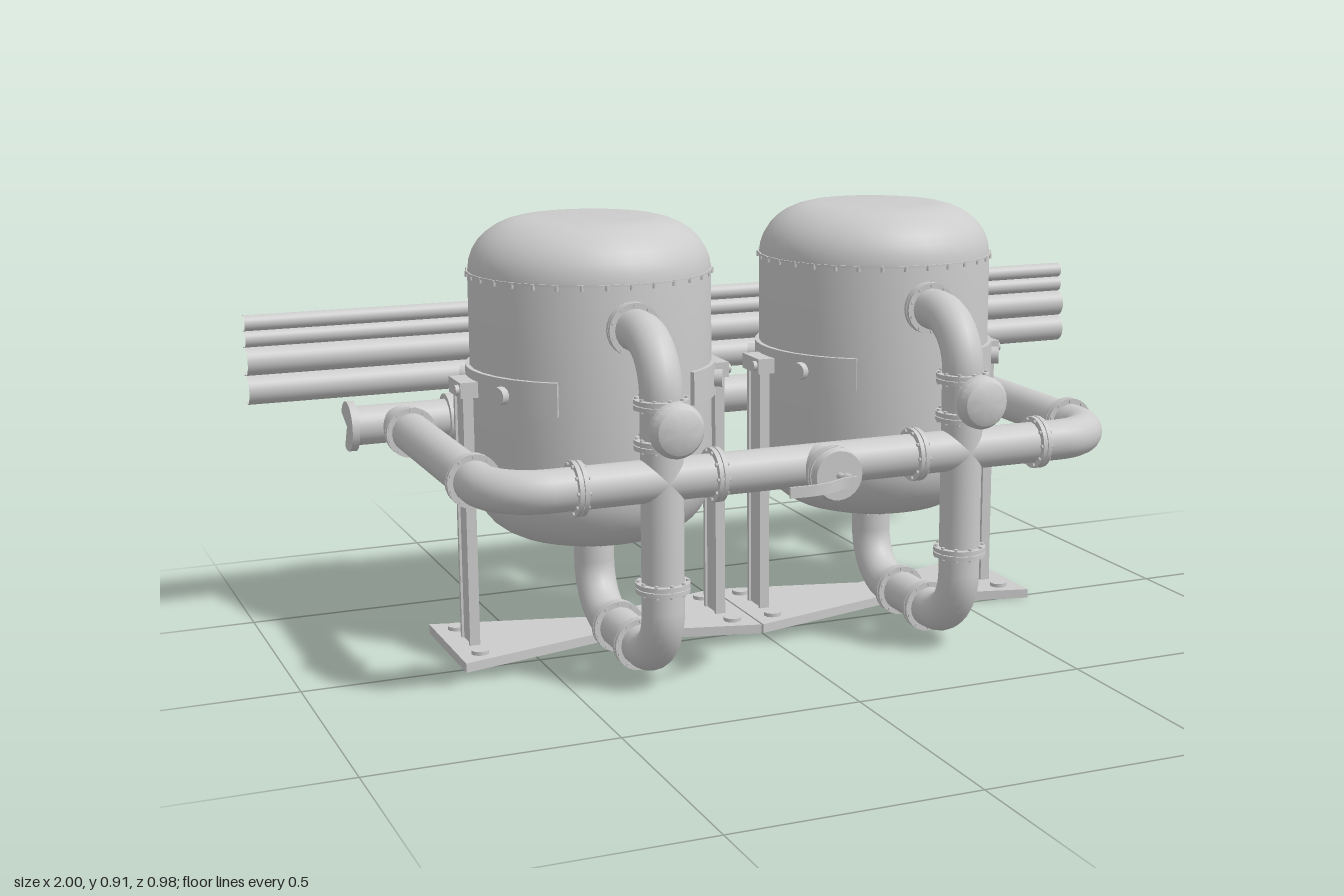
import * as THREE from 'three';
import { mergeGeometries, toCreasedNormals } from 'three/addons/utils/BufferGeometryUtils.js';

const mat = new THREE.MeshStandardMaterial({ color: 0xcccccc });
const thin = new THREE.MeshStandardMaterial({ color: 0xcccccc, side: THREE.DoubleSide });
const V = (x, y, z) => new THREE.Vector3(x, y, z);
const deg = THREE.MathUtils.degToRad;
const PIPE = 0.043, HEADER_Y = 0.437, FRONT_Z = 0.29, TANK_X = 0.333, TANK_Z = -0.125, SIDE_X = 0.675, BACK_Z = -0.44;

function add(parent, name, geo, x = 0, y = 0, z = 0, material = mat) {
  const m = new THREE.Mesh(geo, material);
  m.name = name;
  m.position.set(x, y, z);
  parent.add(m);
  return m;
}

function lathe(points, segments = 32) {
  const g = new THREE.LatheGeometry(points.map(([r, y]) => new THREE.Vector2(r, y)), segments);
  return toCreasedNormals(g, deg(32));
}

// Turn a geometry built along y so that it runs along another axis
function along(geo, axis) {
  if (axis === 'x') geo.rotateZ(Math.PI / 2);
  if (axis === 'z') geo.rotateX(Math.PI / 2);
  return geo;
}

// Round pipe through corner points, each corner an elbow of the given radius
function pipe(points, bend, radius = PIPE) {
  const parts = [];
  const tube = (curve, n) => parts.push(new THREE.TubeGeometry(curve, n, radius, 20));
  let from = points[0];
  for (let i = 1; i < points.length; i++) {
    const p = points[i], next = points[i + 1];
    if (!next) { tube(new THREE.LineCurve3(from, p), 1); break; }
    const u = p.clone().sub(points[i - 1]).normalize(), w = next.clone().sub(p).normalize();
    const a = p.clone().addScaledVector(u, -bend), b = p.clone().addScaledVector(w, bend);
    tube(new THREE.LineCurve3(from, a), 1);
    tube(new THREE.CubicBezierCurve3(a, a.clone().addScaledVector(u, bend * 0.552),
      b.clone().addScaledVector(w, -bend * 0.552), b), 10);
    from = b;
  }
  return mergeGeometries(parts);
}

// Pair of bolted discs around a pipe
function flange(parent, axis, x, y, z) {
  const parts = [];
  for (const s of [-1, 1]) {
    parts.push(new THREE.CylinderGeometry(0.055, 0.055, 0.009, 24).translate(0, s * 0.0055, 0));
  }
  for (let i = 0; i < 10; i++) {
    const a = (i + 0.5) / 10 * Math.PI * 2;
    parts.push(new THREE.CylinderGeometry(0.004, 0.004, 0.028, 6).translate(0.049 * Math.cos(a), 0, 0.049 * Math.sin(a)));
  }
  parts.push(new THREE.CylinderGeometry(0.05, 0.05, 0.004, 24));
  add(parent, 'flange', along(mergeGeometries(parts), axis), x, y, z);
}

// Open trough along x; the gap faces the back
function trough(radius, length, up, down) {
  const start = -(180 - down), sweep = 360 - up - down;
  return along(new THREE.CylinderGeometry(radius, radius, length, 20, 1, true, deg(start), deg(sweep)), 'x');
}

function tank(parent) {
  const g = new THREE.Group();
  g.name = 'tank';
  const profile = [[0, 0.235]];
  for (let i = 0; i <= 8; i++) {
    const a = i / 8 * Math.PI / 2;
    profile.push([0.125 + 0.13 * Math.sin(a), 0.36 - 0.125 * Math.cos(a)]);
  }
  for (let i = 0; i <= 8; i++) {
    const a = i / 8 * Math.PI / 2;
    profile.push([0.125 + 0.13 * Math.cos(a), 0.8 + 0.11 * Math.sin(a)]);
  }
  profile.push([0, 0.91]);
  add(g, 'tankShell', lathe(profile));
  add(g, 'tankSeam', new THREE.CylinderGeometry(0.258, 0.258, 0.004, 32), 0, 0.8, 0);
  const rivets = [];
  for (let i = 0; i < 32; i++) {
    const a = i / 32 * Math.PI * 2;
    rivets.push(new THREE.CylinderGeometry(0.004, 0.004, 0.012, 6).translate(0.256 * Math.cos(a), 0.796, 0.256 * Math.sin(a)));
  }
  add(g, 'seamRivets', mergeGeometries(rivets));

  for (const s of [-1, 1]) {
    // Curved saddle plate with its bolts
    const half = deg(56), shape = new THREE.Shape();
    shape.absarc(0, 0, 0.264, -half, half, false);
    shape.absarc(0, 0, 0.25, half, -half, true);
    const plate = new THREE.ExtrudeGeometry(shape, { depth: 0.07, bevelEnabled: false, curveSegments: 12 });
    plate.rotateX(-Math.PI / 2);
    const saddle = add(g, 'saddlePlate', toCreasedNormals(plate, deg(35)), 0, 0.535, 0);
    saddle.rotation.y = s > 0 ? 0 : Math.PI;
    for (const t of [-1, 1]) {
      const a = t * deg(28);
      const bolt = add(g, 'saddleBolt', along(new THREE.CylinderGeometry(0.019, 0.019, 0.02, 16), 'x'),
        s * 0.27 * Math.cos(a), 0.57, 0.27 * Math.sin(a));
      bolt.rotation.y = -s * a;
    }
    // I-section leg with a bracket on top
    add(g, 'legBracket', new THREE.BoxGeometry(0.06, 0.033, 0.088), s * 0.268, 0.569, 0);
    add(g, 'bracketBolt', along(new THREE.CylinderGeometry(0.011, 0.011, 0.012, 12), 'x'), s * 0.3, 0.569, 0.028);
    for (const t of [-1, 1]) add(g, 'legSide', new THREE.BoxGeometry(0.022, 0.535, 0.01), s * 0.28, 0.287, t * 0.031);
    add(g, 'legWeb', new THREE.BoxGeometry(0.012, 0.535, 0.06), s * 0.28, 0.287, 0);
    for (const t of [-1, 1]) {
      add(g, 'baseBolt', new THREE.CylinderGeometry(0.019, 0.019, 0.008, 12), s * 0.285, 0.024, t * 0.09);
    }
  }

  // Waisted base plate
  const base = new THREE.Shape([[-0.331, -0.145], [0, -0.06], [0.331, -0.145], [0.331, 0.145], [0, 0.06], [-0.331, 0.145]]
    .map(([x, y]) => new THREE.Vector2(x, y)));
  add(g, 'basePlate', new THREE.ExtrudeGeometry(base, { depth: 0.02, bevelEnabled: false }).rotateX(-Math.PI / 2));
  parent.add(g);
  return g;
}

// Looping feed pipe from the tank's shoulder to its underside
function feedPipe(parent, x) {
  const g = new THREE.Group();
  g.name = 'feedPipe';
  add(g, 'feedTube', pipe([V(x, 0.712, 0.1), V(x, 0.712, FRONT_Z), V(x, 0.06, FRONT_Z), V(x, 0.06, TANK_Z), V(x, 0.24, TANK_Z)], 0.11));
  for (const y of [0.59, 0.51, 0.22]) flange(g, 'y', x, y, FRONT_Z);
  flange(g, 'y', x, 0.222, TANK_Z);
  for (const z of [0.15, 0.02]) flange(g, 'z', x, 0.06, z);
  flange(g, 'z', x, 0.712, 0.14);
  // Gauge on the front
  const gauge = lathe([[0.008, 0.3], [0.02, 0.35], [0.02, 0.364], [0.055, 0.364], [0.055, 0.378], [0.046, 0.393], [0.03, 0.4], [0, 0.4]], 24);
  add(g, 'gauge', along(gauge, 'z'), x, 0.552, 0);
  parent.add(g);
}

function drainValve(parent) {
  const g = new THREE.Group();
  g.name = 'drainValve';
  g.position.set(0, HEADER_Y, 0);
  add(g, 'valveStub', along(new THREE.CylinderGeometry(PIPE, PIPE, 0.09, 20), 'z'), 0, 0, 0.33);
  flange(g, 'z', 0, 0, 0.37);
  add(g, 'valveCap', along(new THREE.CylinderGeometry(0.05, 0.055, 0.016, 24), 'z'), 0, 0, 0.392);
  add(g, 'valveStem', along(new THREE.CylinderGeometry(0.007, 0.007, 0.06, 10), 'z'), 0, 0, 0.42);
  add(g, 'stemNut', along(new THREE.CylinderGeometry(0.014, 0.014, 0.025, 6), 'z'), 0, 0, 0.444);
  // Thin S-curved lever
  const path = new THREE.CatmullRomCurve3([V(0.012, 0, 0.457), V(-0.02, 0, 0.459), V(-0.055, 0, 0.478), V(-0.09, 0, 0.487), V(-0.147, 0, 0.487)]);
  const lever = new THREE.BoxGeometry(1, 0.022, 0.005, 16, 1, 1), pos = lever.attributes.position;
  for (let i = 0; i < pos.count; i++) {
    const p = path.getPoint(0.5 - pos.getX(i));
    pos.setXYZ(i, p.x, pos.getY(i), p.z + pos.getZ(i));
  }
  lever.computeVertexNormals();
  add(g, 'valveLever', lever);
  parent.add(g);
}

export function createModel() {
  const model = new THREE.Group();
  model.name = 'twinTankStation';

  for (const s of [-1, 1]) {
    tank(model).position.set(s * TANK_X, 0, TANK_Z);
    feedPipe(model, s * TANK_X);
  }

  // U-shaped header pipe
  add(model, 'headerPipe', pipe([V(-SIDE_X, HEADER_Y, -0.41), V(-SIDE_X, HEADER_Y, FRONT_Z),
    V(SIDE_X, HEADER_Y, FRONT_Z), V(SIDE_X, HEADER_Y, -0.41)], 0.11));
  for (const s of [-1, 1]) {
    for (const x of [0.51, 0.222]) flange(model, 'x', s * x, HEADER_Y, FRONT_Z);
    for (const z of [0.15, -0.33]) flange(model, 'z', s * SIDE_X, HEADER_Y, z);
  }
  drainValve(model);

  // Cut-open back main with notched collars
  add(model, 'backMain', trough(PIPE, 1.56, 58, 63), 0, HEADER_Y, BACK_Z, thin);
  for (const s of [-1, 1]) for (const x of [0.56, 0.78]) {
    const collar = new THREE.CylinderGeometry(0.055, 0.055, 0.016, 24, 1, false, deg(-117), deg(272));
    add(model, 'notchedCollar', along(collar, 'x'), s * x, HEADER_Y, BACK_Z, thin);
  }

  // Four long open troughs behind the tanks
  for (const [r, y] of [[0.032, 0.535], [0.031, 0.597], [0.018, 0.645], [0.017, 0.679]]) {
    add(model, 'backTrough', trough(r, 2, 60, 60), 0, y, BACK_Z, thin);
  }
  return model;
}
